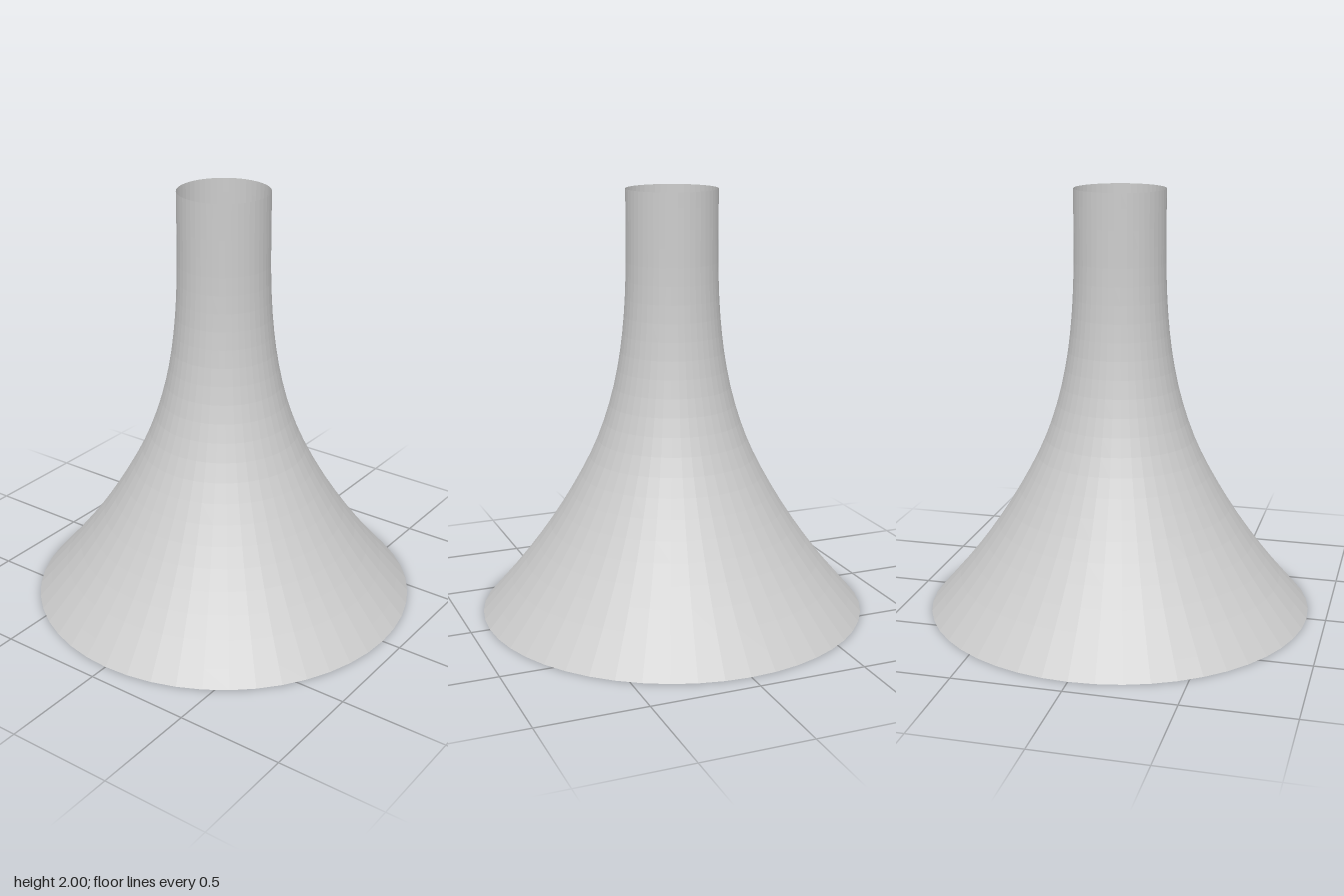
import * as THREE from 'three';

export function createModel() {
  const group = new THREE.Group();
  group.name = 'flaredFunnel';

  // Wall profile from the wide rim up to the straight neck: [radius, height]
  const profile = new THREE.SplineCurve([
    [0.91, 0], [0.74, 0.2], [0.592, 0.4], [0.468, 0.6], [0.366, 0.8], [0.295, 1],
    [0.25, 1.2], [0.225, 1.4], [0.214, 1.6], [0.212, 1.8], [0.212, 2],
  ].map(([r, y]) => new THREE.Vector2(r, y)));

  // Open, thin-walled faceted shell
  const shell = new THREE.Mesh(
    new THREE.LatheGeometry(profile.getPoints(24), 48),
    new THREE.MeshStandardMaterial({ color: 0xcccccc, flatShading: true, side: THREE.DoubleSide }),
  );
  shell.name = 'funnelShell';
  group.add(shell);

  return group;
}
